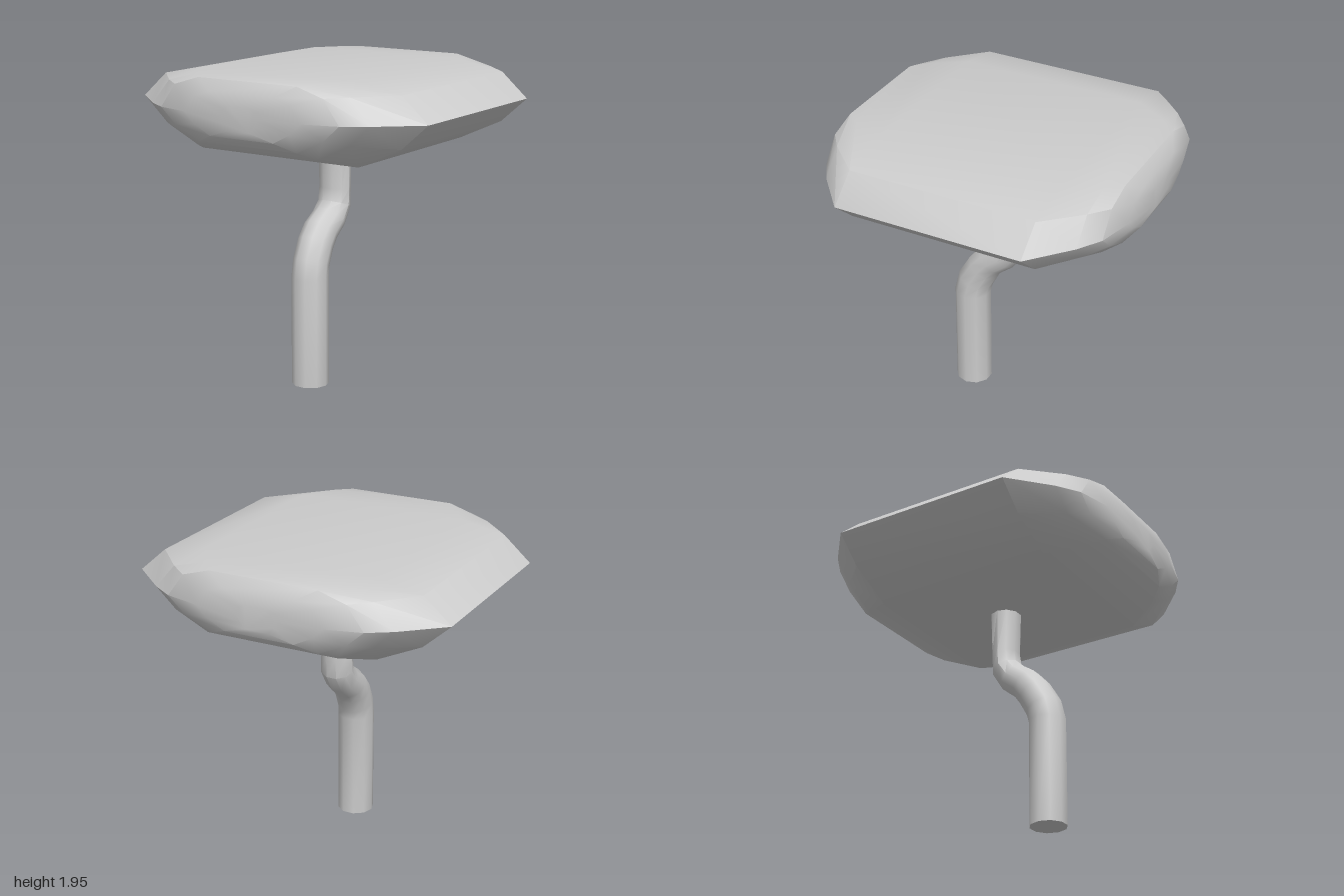
import * as THREE from 'three';
import { toCreasedNormals } from 'three/addons/utils/BufferGeometryUtils.js';

// Skins a list of equal-length rings and closes both ends.
function loft(rings, crease) {
  const n = rings[0].length, index = [];
  for (let i = 0; i < rings.length - 1; i++) {
    for (let j = 0; j < n; j++) {
      const a = i * n + j, b = i * n + (j + 1) % n;
      index.push(a, b, b + n, a, b + n, a + n);
    }
  }
  const last = (rings.length - 1) * n;
  for (let j = 1; j < n - 1; j++) {
    index.push(0, j + 1, j, last, last + j, last + j + 1);
  }
  const g = new THREE.BufferGeometry();
  g.setAttribute('position', new THREE.Float32BufferAttribute(rings.flat(2), 3));
  g.setIndex(index);
  return toCreasedNormals(g.toNonIndexed(), crease);
}

// Ten-point cross-section of the head: flat top and bottom, pointed sides.
function headSection([z, w, top, bottom]) {
  const mid = 1.74, up = top - mid, down = mid - bottom;
  const right = [
    [0.55, mid - down], [0.83, mid - 0.54 * down], [1, mid],
    [0.83, mid + 0.73 * up], [0.55, mid + up],
  ];
  const left = right.map(([x, y]) => [-x, y]).reverse();
  return [...right, ...left].map(([x, y]) => [x * w, y, z]);
}

export function createModel() {
  const group = new THREE.Group();
  const material = new THREE.MeshStandardMaterial({ color: 0xcccccc });
  const add = (name, geometry) => {
    const mesh = new THREE.Mesh(geometry, material);
    mesh.name = name;
    group.add(mesh);
    return mesh;
  };

  // Head: depth, half width, top, bottom; mirrored front to back
  const half = [
    [0.58, 1, 1.945, 1.46],
    [0.79, 0.76, 1.942, 1.52],
    [0.88, 0.62, 1.935, 1.565],
    [0.935, 0.4, 1.87, 1.615],
    [0.955, 0.13, 1.8, 1.66],
  ];
  const back = half.map(([z, ...rest]) => [-z, ...rest]).reverse();
  add('head', loft([...back, ...half].map(headSection), 0.6));

  // Shallow collar where the post meets the head
  const collar = add('collar', new THREE.CylinderGeometry(0.2, 0.1, 0.014, 10));
  collar.position.set(-0.01, 1.455, -0.02);

  // Bent post: x, y, z, radius across, radius front to back
  const path = [
    [0, 0, 0.265, 0.114, 0.114],
    [0, 0.67, 0.265, 0.114, 0.114],
    [-0.005, 0.76, 0.245, 0.112, 0.112],
    [-0.012, 0.865, 0.187, 0.112, 0.108],
    [-0.014, 0.935, 0.13, 0.112, 0.102],
    [-0.012, 1.0, 0.042, 0.108, 0.098],
    [-0.01, 1.08, -0.014, 0.105, 0.092],
    [-0.01, 1.18, -0.021, 0.104, 0.082],
    [-0.01, 1.47, -0.023, 0.1, 0.097],
  ];
  const sides = 10;
  const rings = path.map(([x, y, z, rx, rz], i) => {
    // Tilt each ring between its two neighbouring segments
    const dir = (k) => new THREE.Vector2(path[k + 1][1] - path[k][1], path[k + 1][2] - path[k][2]).normalize();
    const t = dir(Math.max(i - 1, 0)).add(dir(Math.min(i, path.length - 2))).normalize();
    if (i <= 1 || i === path.length - 1) t.set(1, 0);
    return Array.from({ length: sides }, (_, j) => {
      const a = (j / sides) * Math.PI * 2;
      const s = -Math.sin(a) * rz;
      return [x + Math.cos(a) * rx, y - s * t.y, z + s * t.x];
    });
  });
  add('post', loft(rings, 0.7));

  return group;
}
